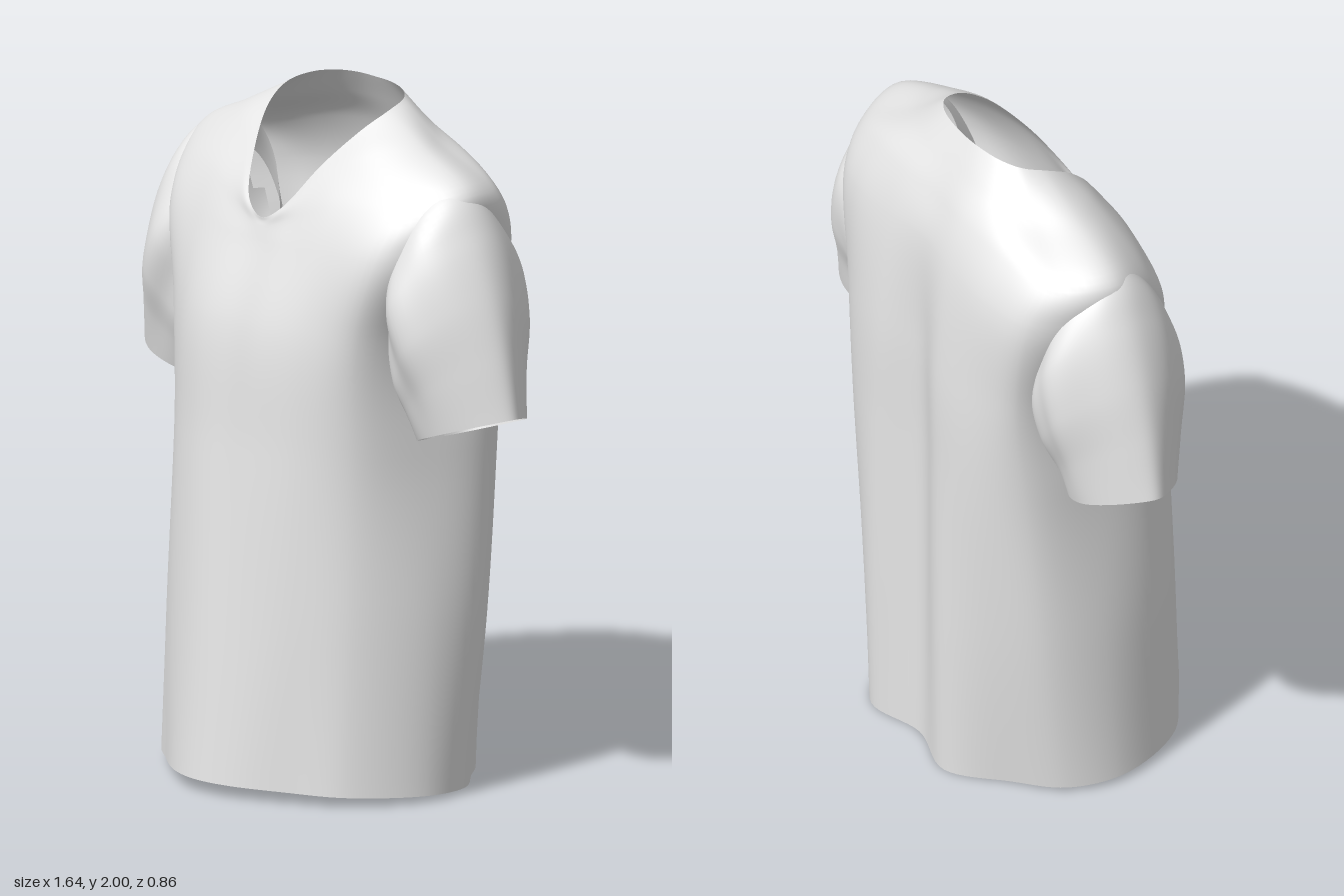
import * as THREE from 'three';

const fabric = new THREE.MeshStandardMaterial({ color: 0xe6e6e6, side: THREE.DoubleSide });
fabric.name = 'light grey fabric';

// Half cross-sections of the body, front centre to back centre, as [x, z]
const bodyRows = [
  [0.02, [[0, .43], [.12, .405], [.27, .32], [.42, .21], [.51, -.01], [.475, -.175], [.355, -.295], [.2, -.42], [0, -.38]]],
  [0.5, [[0, .385], [.13, .365], [.28, .30], [.42, .18], [.5, -.04], [.475, -.235], [.365, -.345], [.19, -.43], [0, -.375]]],
  [1.0, [[0, .33], [.14, .325], [.28, .275], [.405, .16], [.46, -.06], [.455, -.285], [.35, -.39], [.18, -.43], [0, -.375]]],
  [1.35, [[0, .29], [.14, .295], [.28, .255], [.42, .165], [.465, -.08], [.455, -.325], [.355, -.395], [.17, -.425], [0, -.38]]],
];

// Yoke rings that climb over the shoulders to the V neck, as [x, y, z]
const yokeRows = [
  [[0, 1.58, .205], [.13, 1.59, .21], [.28, 1.6, .195], [.49, 1.6, .13], [.59, 1.65, -.08], [.51, 1.65, -.315], [.36, 1.67, -.375], [.17, 1.69, -.385], [0, 1.7, -.37]],
  [[0, 1.625, .19], [.11, 1.66, .18], [.27, 1.73, .14], [.5, 1.735, .06], [.6, 1.78, -.09], [.52, 1.77, -.25], [.34, 1.81, -.315], [.16, 1.83, -.335], [0, 1.83, -.325]],
  [[0, 1.64, .185], [.09, 1.685, .175], [.2, 1.81, .09], [.32, 1.87, .01], [.4, 1.885, -.09], [.34, 1.885, -.19], [.23, 1.91, -.25], [.13, 1.92, -.275], [0, 1.925, -.275]],
  [[0, 1.65, .185], [.075, 1.69, .17], [.155, 1.82, .085], [.215, 1.92, -.015], [.232, 1.965, -.095], [.21, 1.985, -.165], [.155, 1.995, -.205], [.08, 2, -.225], [0, 2, -.23]],
];

// Sleeve sections: outer x, y, inner x, y, front z, back z
const sleeveRows = [
  [.45, 1.83, .38, 1.46, .01, -.20],
  [.585, 1.785, .40, 1.36, .10, -.265],
  [.66, 1.68, .42, 1.27, .14, -.315],
  [.73, 1.52, .44, 1.18, .135, -.305],
  [.78, 1.35, .455, 1.11, .10, -.265],
  [.82, 1.17, .46, 1.05, .07, -.24],
];

const spline = points => new THREE.CatmullRomCurve3(points);
const outer = spline(sleeveRows.map(r => new THREE.Vector3(r[0], r[1], 0)));
const inner = spline(sleeveRows.map(r => new THREE.Vector3(r[2], r[3], 0)));
const depth = spline(sleeveRows.map((r, i) => new THREE.Vector3(r[4], r[5], i * 0.1)));
const sections = Array.from({ length: 41 }, (_, i) => {
  const o = outer.getPoint(i / 40), q = inner.getPoint(i / 40), d = depth.getPoint(i / 40);
  return { q, across: o.sub(q), mid: (d.x + d.y) / 2, half: (d.x - d.y) / 2 };
});

// True where a point lies well inside a sleeve, which is the armhole of the body
function inSleeve(p) {
  return sections.some(({ q, across, mid, half }) => {
    const x = Math.abs(p.x) - q.x, y = p.y - q.y, length = across.length();
    const along = (x * across.x + y * across.y) / length;
    const off = Math.abs(x * across.y - y * across.x) / length;
    return off < 0.02 && Math.hypot(2 * along / length - 1, (p.z - mid) / half) < 0.8;
  });
}

// Smooth surface through closed rings of points, leaving out hidden cloth
function loft(rings, hidden, flip = false) {
  const n = rings[0].length, points = rings.flat(), index = [];
  for (let i = 0; i < rings.length - 1; i++) {
    for (let j = 0; j < n; j++) {
      const k = (j + 1) % n;
      const a = i * n + j, b = i * n + k, c = a + n, d = b + n;
      if ([a, b, c, d].every(v => hidden(points[v]))) continue;
      if (flip) index.push(a, c, b, b, c, d);
      else index.push(a, b, c, b, d, c);
    }
  }
  const geometry = new THREE.BufferGeometry().setFromPoints(points);
  geometry.setIndex(index);
  geometry.computeVertexNormals();
  return geometry;
}

function bodyGeometry() {
  const rows = bodyRows.map(([y, pts], i) =>
    // the hem rises slightly at the front
    pts.map(([x, z]) => new THREE.Vector3(x, i === 0 ? y + z * 0.045 : y, z)));
  yokeRows.forEach(pts => rows.push(pts.map(p => new THREE.Vector3(...p))));
  const columns = rows[0].map((_, j) => spline(rows.map(r => r[j])));
  const rings = [];
  for (let i = 0; i <= 70; i++) {
    const half = columns.map(c => c.getPoint(i / 70));
    const mirrored = half.slice(1, -1).reverse().map(p => new THREE.Vector3(-p.x, p.y, p.z));
    const curve = new THREE.CatmullRomCurve3([...half, ...mirrored], true);
    rings.push(curve.getPoints(128).slice(0, -1));
  }
  return loft(rings, inSleeve);
}

function sleeveGeometry(side) {
  const rings = sections.map(({ q, across, mid, half }, i) => {
    const v = i / 40, ring = [];
    for (let j = 0; j < 72; j++) {
      const t = j / 72 * Math.PI * 2, c = Math.cos(t);
      // gathered folds towards the armpit, fading at the cuff
      const fold = 1 + 0.06 * Math.sin(Math.PI * v) * Math.cos(7 * t + 4 * v) * (0.5 - 0.5 * c);
      // the outer edge narrows towards the cuff
      const taper = 1 - (0.1 + 0.35 * v) * Math.max(c, 0) ** 2;
      const u = 0.5 + 0.5 * c * fold;
      ring.push(new THREE.Vector3(side * (q.x + across.x * u), q.y + across.y * u, mid + half * Math.sin(t) * fold * taper));
    }
    return ring;
  });
  return loft(rings, p => Math.abs(p.x) < 0.43, side < 0);
}

export function createModel() {
  const shirt = new THREE.Group();
  shirt.name = 'shirt';
  const add = (name, geometry) => {
    const mesh = new THREE.Mesh(geometry, fabric);
    mesh.name = name;
    shirt.add(mesh);
  };
  add('body', bodyGeometry());
  add('leftSleeve', sleeveGeometry(1));
  add('rightSleeve', sleeveGeometry(-1));
  return shirt;
}
